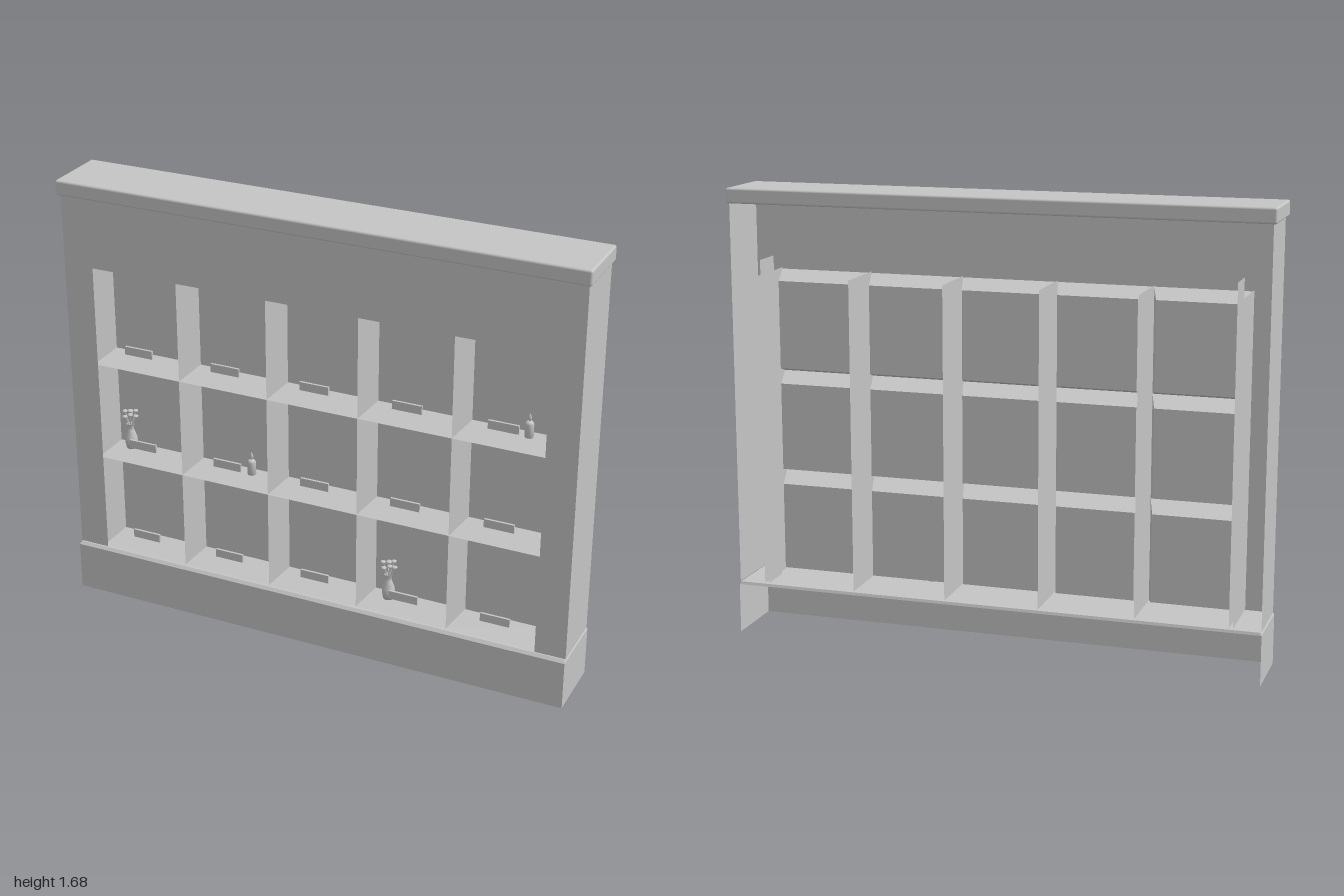
import * as THREE from 'three';
import { RoundedBoxGeometry } from 'three/addons/geometries/RoundedBoxGeometry.js';

const stone = new THREE.MeshStandardMaterial({ color: 0xc4c4c4, side: THREE.DoubleSide });
stone.name = 'grey stone';

const FRONT = 0.112, BACK = -0.12, NICHE_BACK = 0.0;
const COLS = 5, ROWS = 3, PITCH_X = 0.355, PITCH_Y = 0.385, BASE = 0.2;
const OPEN_X = 0.872, OPEN_TOP = 1.355;

function add(parent, name, geometry, x = 0, y = 0, z = 0) {
  const mesh = new THREE.Mesh(geometry, stone);
  mesh.name = name;
  mesh.position.set(x, y, z);
  parent.add(mesh);
  return mesh;
}

// Flat-shaded surface from four-cornered faces
function faces(quads) {
  const pos = [];
  for (const [a, b, c, d] of quads) pos.push(...a, ...b, ...c, ...a, ...c, ...d);
  const g = new THREE.BufferGeometry();
  g.setAttribute('position', new THREE.Float32BufferAttribute(pos, 3));
  g.computeVertexNormals();
  return g;
}

// Corners of an upright rectangle, anticlockwise from the front
const rectXY = (x0, x1, y0, y1, z) => [[x0, y0, z], [x1, y0, z], [x1, y1, z], [x0, y1, z]];

// Upright sheet running front to back, facing the given side
function sideSheet(x, y0, y1, z0, z1, dir) {
  const q = [[x, y0, z1], [x, y0, z0], [x, y1, z0], [x, y1, z1]];
  return dir > 0 ? q : q.reverse();
}

// Faces joining two matching rings of four corners
const bridge = (a, b) => a.map((p, i) => [p, a[(i + 1) % 4], b[(i + 1) % 4], b[i]]);

function plinth() {
  const ring = (x, y, z0, z1) => [[-x, y, z1], [x, y, z1], [x, y, z0], [-x, y, z0]];
  const bottom = ring(0.99, 0, -0.126, 0.128);
  const shoulder = ring(0.99, 0.187, -0.126, 0.128);
  const top = ring(0.985, BASE - 0.003, -0.122, 0.117);
  const sides = bridge(bottom, shoulder).filter((_, i) => i !== 2); // open at the back
  return faces([...sides, ...bridge(shoulder, top), top]);
}

function frontPanel() {
  const s = new THREE.Shape();
  s.moveTo(-0.988, BASE - 0.003);
  s.lineTo(-OPEN_X, BASE - 0.003);
  s.lineTo(-OPEN_X, OPEN_TOP);
  s.lineTo(OPEN_X, OPEN_TOP);
  s.lineTo(OPEN_X, BASE - 0.003);
  s.lineTo(0.988, BASE - 0.003);
  s.lineTo(0.988, 1.625);
  s.lineTo(-0.988, 1.625);
  return new THREE.ShapeGeometry(s);
}

// Recess that narrows towards its back wall
function niche() {
  const w = PITCH_X / 2, inX = 0.032, inY = 0.029;
  const mouth = rectXY(-w, w, 0, PITCH_Y, FRONT - 0.002);
  const rear = rectXY(-w + inX, w - inX, inY, PITCH_Y - inY, NICHE_BACK);
  return faces([...bridge(mouth, rear), rear]);
}

const lathe = (points, n) => new THREE.LatheGeometry(points.map(p => new THREE.Vector2(...p)), n);

function vase(parent, x, y, z) {
  const g = new THREE.Group();
  g.name = 'flowerVase';
  g.position.set(x, y, z);
  parent.add(g);
  add(g, 'vaseBody', lathe([[0, 0], [0.019, 0], [0.024, 0.025], [0.023, 0.045], [0.012, 0.075],
    [0.01, 0.085], [0.016, 0.1]], 12));
  // Fanned stems with small blossoms
  for (let i = 0; i < 6; i++) {
    const a = i * Math.PI / 3, r = 0.023;
    const tip = new THREE.Vector3(Math.cos(a) * r, 0.135 + (i % 2) * 0.012, Math.sin(a) * r);
    const path = new THREE.LineCurve3(new THREE.Vector3(0, 0.075, 0), tip);
    add(g, 'stem', new THREE.TubeGeometry(path, 1, 0.002, 5));
    const bloom = add(g, 'blossom', new THREE.SphereGeometry(0.011, 8, 5), tip.x, tip.y, tip.z);
    bloom.scale.y = 0.5;
  }
  add(g, 'blossom', new THREE.SphereGeometry(0.012, 8, 5), 0, 0.152, 0).scale.y = 0.6;
}

function candle(parent, x, y, z) {
  const g = new THREE.Group();
  g.name = 'candle';
  g.position.set(x, y, z);
  parent.add(g);
  add(g, 'candleBody', lathe([[0, 0], [0.016, 0], [0.016, 0.05], [0.011, 0.058], [0, 0.06]], 12));
  add(g, 'flame', lathe([[0, 0.058], [0.004, 0.062], [0.007, 0.072], [0.004, 0.082], [0, 0.092]], 8));
}

export function createModel() {
  const model = new THREE.Group();
  model.name = 'nicheWall';

  // Outer shell, open at the back
  add(model, 'plinth', plinth());
  add(model, 'frontPanel', frontPanel(), 0, 0, FRONT);
  add(model, 'capstone', new RoundedBoxGeometry(2, 0.056, 0.254, 2, 0.008), 0, 1.648, 0.001);
  for (const s of [-1, 1]) {
    add(model, 'sideWall', faces([sideSheet(s * 0.988, BASE - 0.003, 1.625, BACK, FRONT, s)]));
    add(model, 'openingReturn', faces([sideSheet(s * (OPEN_X + 0.001), BASE, 1.42, BACK, NICHE_BACK, s)]));
  }

  // Thin dividers between the columns
  for (let i = 0; i <= COLS; i++) {
    const x = (i - COLS / 2) * PITCH_X;
    add(model, 'divider', faces([sideSheet(x, BASE, 1.36, BACK, FRONT - 0.003, 1)]));
  }

  // Niches, each with a small blank plaque
  const nicheGeo = niche();
  const plaqueGeo = new THREE.BoxGeometry(0.112, 0.032, 0.009);
  for (let r = 0; r < ROWS; r++) {
    for (let c = 0; c < COLS; c++) {
      const x = (c - (COLS - 1) / 2) * PITCH_X, y = BASE + r * PITCH_Y;
      add(model, 'niche', nicheGeo, x, y, 0);
      add(model, 'plaque', plaqueGeo, x, y + 0.071, 0.085);
    }
  }

  // Offerings
  vase(model, -0.79, 0.612, 0.035);
  vase(model, 0.275, 0.222, 0.035);
  candle(model, 0.785, 0.997, 0.035);
  candle(model, -0.28, 0.612, 0.035);
  return model;
}
